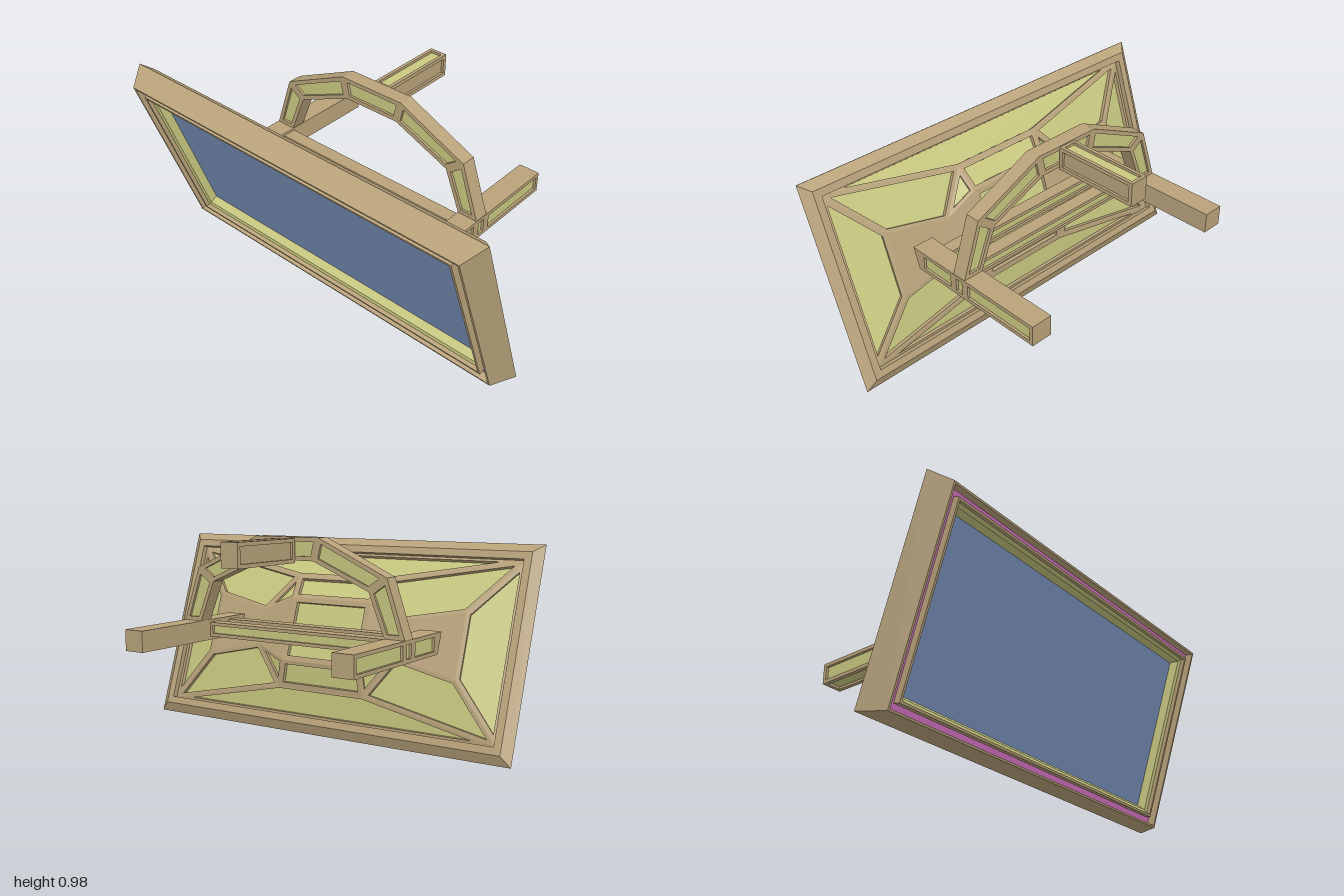
import * as THREE from 'three';

const paint = (color) => new THREE.MeshStandardMaterial({ color });
const tan = paint(0xb8a27a), olive = paint(0xc8c880), blue = paint(0x7c94c0), pink = paint(0xe078cc);
const V = (x, y, z) => new THREE.Vector3(x, y, z);

// flat-shaded mesh from a list of convex polygons
function polyMesh(name, polys, material) {
  const pos = [];
  for (const p of polys)
    for (let i = 1; i < p.length - 1; i++)
      for (const v of [p[0], p[i], p[i + 1]]) pos.push(v.x, v.y, v.z);
  const g = new THREE.BufferGeometry();
  g.setAttribute('position', new THREE.Float32BufferAttribute(pos, 3));
  g.computeVertexNormals();
  const m = new THREE.Mesh(g, material);
  m.name = name;
  return m;
}

// collects faces: each is plain or has a recessed coloured panel
class Facets {
  constructor(inside) { this.inside = inside; this.body = []; this.panels = []; }
  add(points, inset = 0, depth = 0.012) {
    let p = points;
    const n = V(0, 0, 0), c = V(0, 0, 0);
    p.forEach((a, i) => {
      n.add(a.clone().cross(p[(i + 1) % p.length]));
      c.addScaledVector(a, 1 / p.length);
    });
    n.normalize();
    if (n.dot(c.sub(this.inside)) < 0) { p = [...p].reverse(); n.negate(); }
    if (!inset) { this.body.push(p); return; }
    const k = p.length;
    const rim = p.map((a, i) => {
      const u = p[(i + 1) % k].clone().sub(a).normalize();
      const w = p[(i + k - 1) % k].clone().sub(a).normalize();
      const s = inset / u.clone().cross(w).length();
      return a.clone().addScaledVector(u.add(w), s);
    });
    const floor = rim.map((a) => a.clone().addScaledVector(n, -depth));
    for (let i = 0; i < k; i++) {
      const j = (i + 1) % k;
      this.body.push([p[i], p[j], rim[j], rim[i]], [rim[i], rim[j], floor[j], floor[i]]);
    }
    this.panels.push(floor);
  }
  build(name, panelMaterial = olive) {
    const g = new THREE.Group();
    g.name = name;
    g.add(polyMesh(name + 'Body', this.body, tan));
    if (this.panels.length) g.add(polyMesh(name + 'Panels', this.panels, panelMaterial));
    return g;
  }
}

// beam between two four-cornered ends; insets holds a value per long side, null leaves a face out
function beam(name, a, b, insets, caps, material = olive) {
  const mid = V(0, 0, 0);
  [...a, ...b].forEach((v) => mid.addScaledVector(v, 1 / 8));
  const f = new Facets(mid);
  for (let i = 0; i < 4; i++) {
    const j = (i + 1) % 4;
    if (insets[i] !== null) f.add([a[i], a[j], b[j], b[i]], insets[i]);
  }
  if (caps[0] !== null) f.add(a, caps[0]);
  if (caps[1] !== null) f.add(b, caps[1]);
  return f.build(name, material);
}

// rectangular rings [halfWidth, halfHeight, z] joined in order
function rings(name, list, material) {
  const loops = list.map(([x, y, z]) => [V(-x, -y, z), V(x, -y, z), V(x, y, z), V(-x, y, z)]);
  const polys = [];
  for (let r = 0; r < loops.length - 1; r++)
    for (let i = 0; i < 4; i++) {
      const j = (i + 1) % 4;
      polys.push([loops[r][i], loops[r][j], loops[r + 1][j], loops[r + 1][i]]);
    }
  return polyMesh(name, polys, material);
}

function makeDisplay() {
  const g = new THREE.Group();
  g.name = 'display';
  // bezel from the back lip, round the outside, to the front groove
  g.add(rings('bezel', [[0.92, 0.42, -0.115], [0.92, 0.42, -0.143], [0.955, 0.455, -0.143],
    [1, 0.498, -0.11], [0.94, 0.468, 0], [0.93, 0.458, 0], [0.925, 0.453, -0.035]], tan));
  g.add(rings('lightStrip', [[0.925, 0.453, -0.035], [0.893, 0.426, -0.035]], pink));
  g.add(rings('innerLip', [[0.893, 0.426, -0.035], [0.891, 0.424, -0.005], [0.88, 0.412, -0.005],
    [0.88, 0.412, -0.025]], tan));
  g.add(rings('recessWall', [[0.88, 0.412, -0.025], [0.866, 0.396, -0.032], [0.855, 0.381, -0.07]], olive));
  const screen = new THREE.Mesh(new THREE.PlaneGeometry(1.71, 0.762), blue);
  screen.position.z = -0.07;
  screen.name = 'screen';
  g.add(screen);

  // faceted back shell, mirrored in both directions
  const shell = new Facets(V(0, 0, 0));
  const at = ([x, y, z], sx, sy) => V(x * sx, y * sy, z);
  const A = [0.92, 0.42, -0.115], B = [0.24, 0.285, -0.158], C = [0.39, 0.09, -0.186];
  const D = [0.7, 0.155, -0.166], E = [0.22, 0.16, -0.203];
  for (const sy of [1, -1]) {
    shell.add([at(A, 1, sy), at(A, -1, sy), at(B, -1, sy), at(B, 1, sy)], 0.012, 0.018);
    shell.add([at(B, 1, sy), at(B, -1, sy), at(E, -1, sy), at(E, 1, sy)], 0.02, 0.02);
    for (const sx of [1, -1]) {
      shell.add([A, B, C, D].map((p) => at(p, sx, sy)), 0.018, 0.02);
      shell.add([B, C, E].map((p) => at(p, sx, sy)), 0.016, 0.012);
    }
  }
  for (const sx of [1, -1]) {
    shell.add([at(A, sx, 1), at(D, sx, 1), at(D, sx, -1), at(A, sx, -1)], 0.02, 0.018);
    shell.add([at(C, sx, 1), at(D, sx, 1), at(D, sx, -1), at(C, sx, -1)]);
    shell.add([at(E, sx, 1), at(C, sx, 1), at(C, sx, -1), at(E, sx, -1)]);
  }
  shell.add([at(E, 1, 1), at(E, -1, 1), at(E, -1, -1), at(E, 1, -1)], 0.025, 0.02);
  g.add(shell.build('backShell'));

  g.position.set(0, 0.4425, 0.3875);
  g.rotation.x = 0.331;
  return g;
}

// cross-section rectangle in the xy plane; top and bottom may end at different depths
const section = (x0, x1, y0, y1, zLow, zHigh = zLow) =>
  [V(x0, y0, zLow), V(x1, y0, zLow), V(x1, y1, zHigh), V(x0, y1, zHigh)];

// side arm: plain foot at the shell, then three stretches panelled on the outer side
function makeArm(side) {
  const g = new THREE.Group();
  g.name = side > 0 ? 'leftArm' : 'rightArm';
  const x0 = side * 0.56 - 0.052, x1 = x0 + 0.104;
  const cuts = [[0.18, 0.215], [0.163, 0.163], [-0.053, -0.053], [-0.127, -0.127], [-0.54, -0.54]]
    .map(([lo, hi]) => section(x0, x1, 0.458, 0.558, lo, hi));
  for (let i = 0; i < 4; i++) {
    const outer = i === 0 ? 0 : 0.018;
    const sides = [i === 3 ? 0.018 : 0, side > 0 ? outer : 0, 0, side > 0 ? 0 : outer];
    g.add(beam('armSection', cuts[i], cuts[i + 1], sides, [i === 0 ? 0 : null, i === 3 ? 0 : null]));
  }
  return g;
}

function makeArch() {
  const g = new THREE.Group();
  g.name = 'arch';
  // outer and inner outline of one half, then mirrored
  const half = [[0.61, 0.558, 0.51, 0.558], [0.52, 0.82, 0.43, 0.755], [0.17, 0.98, 0.145, 0.875]];
  const stations = [...half, ...half.map(([a, b, c, d]) => [-a, b, -c, d]).reverse()]
    .map(([ox, oy, ix, iy]) => [V(ox, oy, -0.055), V(ix, iy, -0.055), V(ix, iy, -0.127), V(ox, oy, -0.127)]);
  for (let i = 0; i < 5; i++)
    g.add(beam('archSegment', stations[i], stations[i + 1], [0.02, 0, 0.02, 0], [null, null]));
  return g;
}

export function createModel() {
  const model = new THREE.Group();
  model.name = 'wallDisplay';
  model.add(makeDisplay(), makeArm(1), makeArm(-1), makeArch());

  // crossbars between the arms
  for (const [z0, z1] of [[0.008, -0.06], [0.15, 0.085]])
    model.add(beam('crossbar', section(-0.51, 0.51, 0.475, 0.545, z0), section(-0.51, 0.51, 0.475, 0.545, z1),
      [0.014, 0, 0, 0], [0.016, 0.016]));

  // upper arm behind the arch: coloured panels above and below, plain recesses at the sides
  const front = section(-0.045, 0.045, 0.863, 0.974, -0.125);
  const back = section(-0.045, 0.045, 0.863, 0.974, -0.54);
  model.add(beam('upperArm', front, back, [0.016, null, 0.016, null], [0, 0]));
  model.add(beam('upperArmSides', front, back, [null, 0.018, null, 0.018], [null, null], tan));
  return model;
}
